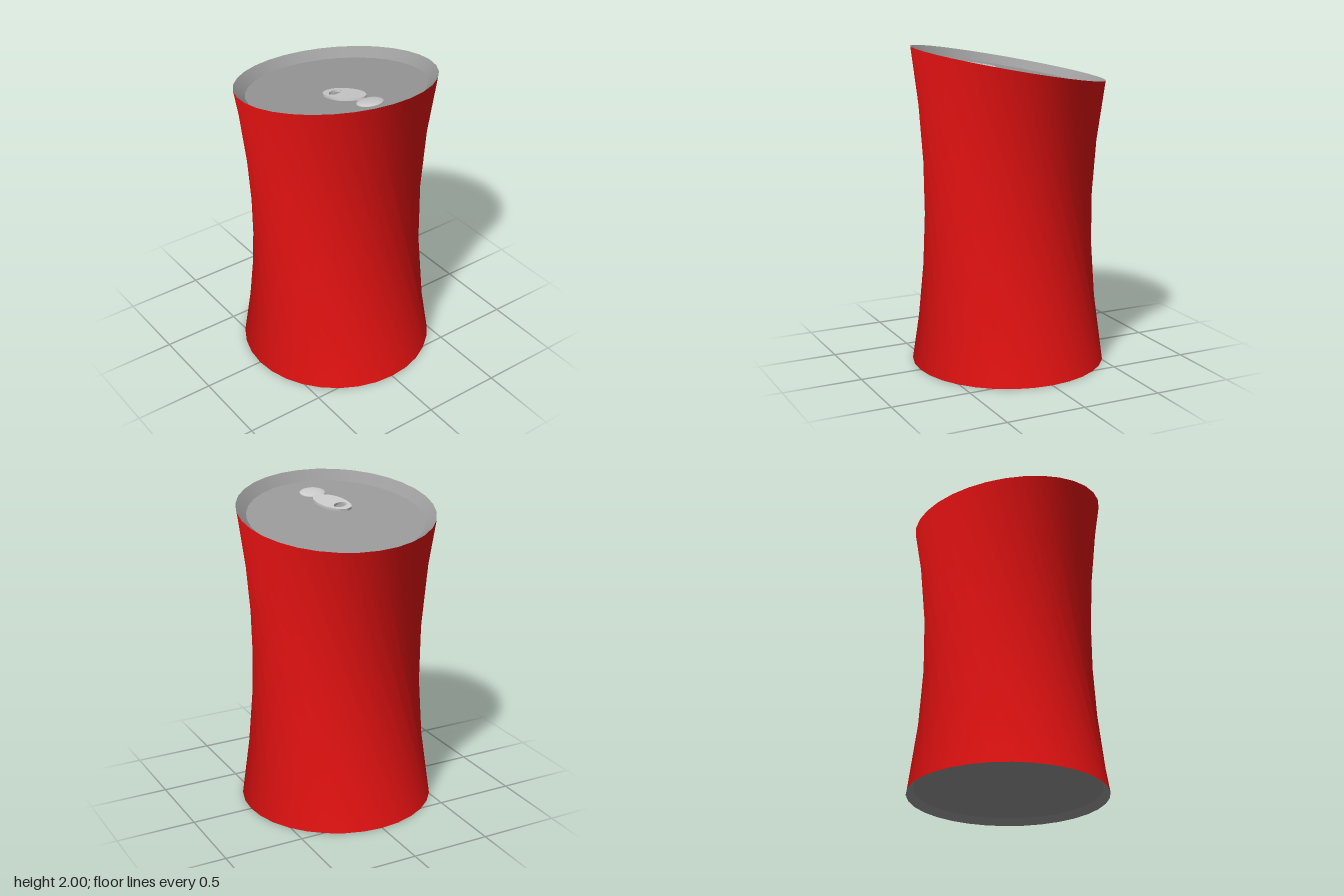
import * as THREE from 'three';

const SIDES = 32, RADIUS = 0.61, TWIST = Math.PI / 3;
const RIM_CENTRE = new THREE.Vector3(-0.005, 1.89, 0);
const TILT = new THREE.Quaternion().setFromUnitVectors(
  new THREE.Vector3(0, 1, 0), new THREE.Vector3(-0.18, 1, -0.033).normalize());

const material = (color, side = THREE.FrontSide) => new THREE.MeshStandardMaterial({ color, side });
const red = material(0xe61212, THREE.DoubleSide);
const metal = material(0x9a9a9a, THREE.DoubleSide);
const light = material(0xcccccc);

function add(parent, name, geometry, mat) {
  const mesh = new THREE.Mesh(geometry, mat);
  mesh.name = name;
  parent.add(mesh);
  return mesh;
}

// Twisted wall: straight edges from a level ring up to a turned, tilted ring
function wallGeometry() {
  const positions = [], index = [];
  for (let i = 0; i < SIDES; i++) {
    const a = (i / SIDES) * Math.PI * 2, b = a + TWIST;
    const top = new THREE.Vector3(RADIUS * Math.cos(b), 0, RADIUS * Math.sin(b))
      .applyQuaternion(TILT).add(RIM_CENTRE);
    positions.push(RADIUS * Math.cos(a), 0, RADIUS * Math.sin(a), top.x, top.y, top.z);
    const j = (i + 1) % SIDES;
    index.push(2 * j, 2 * i, 2 * j + 1, 2 * i, 2 * i + 1, 2 * j + 1);
  }
  const geometry = new THREE.BufferGeometry();
  geometry.setAttribute('position', new THREE.Float32BufferAttribute(positions, 3));
  geometry.setIndex(index);
  geometry.computeVertexNormals();
  return geometry;
}

// Sloping lip and flat panel of a recessed end
function addEnd(parent, name, innerRadius, y, turn) {
  const lip = new THREE.LatheGeometry(
    [new THREE.Vector2(RADIUS, 0), new THREE.Vector2(innerRadius, y)], SIDES);
  add(parent, name + 'Lip', lip.rotateY(turn), metal);
  const panel = new THREE.CircleGeometry(innerRadius, SIDES);
  panel.rotateX(y < 0 ? -Math.PI / 2 : Math.PI / 2).rotateY(turn).translate(0, y, 0);
  add(parent, name + 'Panel', panel, metal);
}

export function createModel() {
  const can = new THREE.Group();
  can.name = 'twistedCan';
  add(can, 'wall', wallGeometry(), red);
  addEnd(can, 'bottom', 0.57, 0.04, 0);

  // Tilted lid
  const lid = new THREE.Group();
  lid.name = 'lid';
  lid.position.copy(RIM_CENTRE);
  lid.quaternion.copy(TILT);
  can.add(lid);
  addEnd(lid, 'top', 0.545, -0.055, -TWIST);

  // Pull tab: oval plate with a finger hole (shape y becomes -z)
  const outline = [[0.04, -0.1], [0.06, -0.14], [0.11, -0.155], [0.19, -0.145], [0.25, -0.11],
    [0.29, -0.055], [0.3, -0.025], [0.29, 0.005], [0.25, 0.03], [0.19, 0.033], [0.11, 0.005], [0.055, -0.045]];
  const shape = new THREE.Shape();
  const curve = new THREE.SplineCurve([...outline, outline[0]].map(([x, y]) => new THREE.Vector2(x, y)));
  shape.setFromPoints(curve.getPoints(48));
  const hole = new THREE.Path();
  hole.absellipse(0.11, -0.086, 0.03, 0.048, 0, Math.PI * 2, true, 0.35);
  shape.holes.push(hole);
  const plate = new THREE.ExtrudeGeometry(shape, { depth: 0.015, bevelEnabled: false, curveSegments: 16 });
  add(lid, 'pullTab', plate.rotateX(-Math.PI / 2), light).position.y = -0.053;

  // Rounded tab nose lying low on the lid
  const nose = add(lid, 'tabNose', new THREE.SphereGeometry(1, 24, 12), light);
  nose.scale.set(0.073, 0.015, 0.085);
  nose.position.set(0.366, -0.053, 0.025);
  return can;
}
